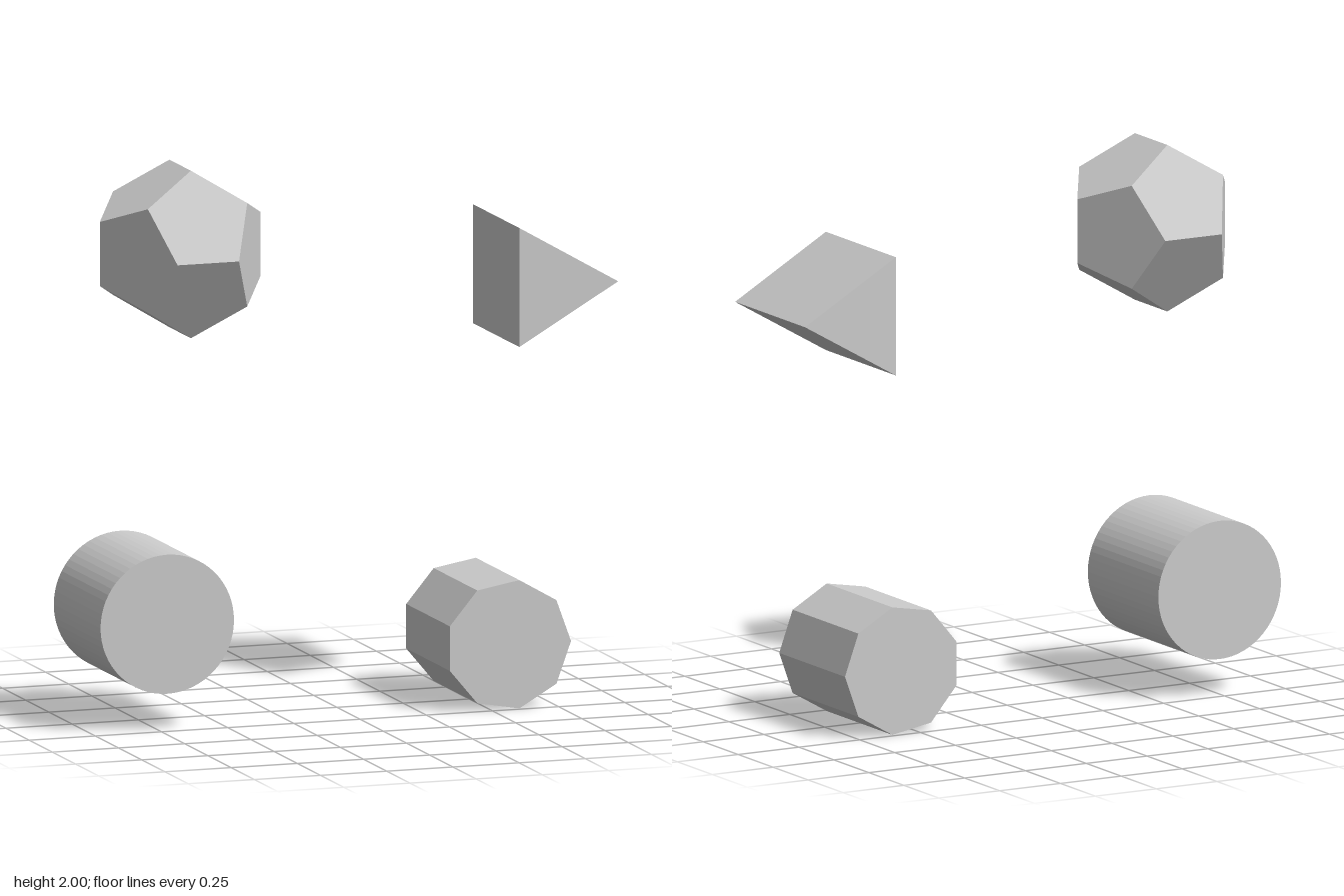
import * as THREE from 'three';

const material = new THREE.MeshStandardMaterial({ color: 0xcccccc, flatShading: true });

// Regular prism lying along z, with one corner pointing to +x
function prism(radius, depth, sides) {
  return new THREE.CylinderGeometry(radius, radius, depth, sides, 1, false, Math.PI / 2)
    .rotateX(Math.PI / 2);
}

export function createModel() {
  const group = new THREE.Group();
  group.name = 'solids';

  const add = (name, geometry, x, y) => {
    const mesh = new THREE.Mesh(geometry, material);
    mesh.name = name;
    mesh.position.set(x, y, 0);
    group.add(mesh);
  };

  // Upper pair
  add('dodecahedron', new THREE.DodecahedronGeometry(0.325).rotateZ(Math.PI / 2), -0.592, 1.697);
  add('triangularPrism', prism(0.249, 0.5, 3), 0.726, 1.528);

  // Lower pair
  add('cylinder', prism(0.252, 0.504, 64), -0.729, 0.389);
  add('nonagonalPrism', prism(0.236, 0.47, 9), 0.566, 0.2325);

  return group;
}
